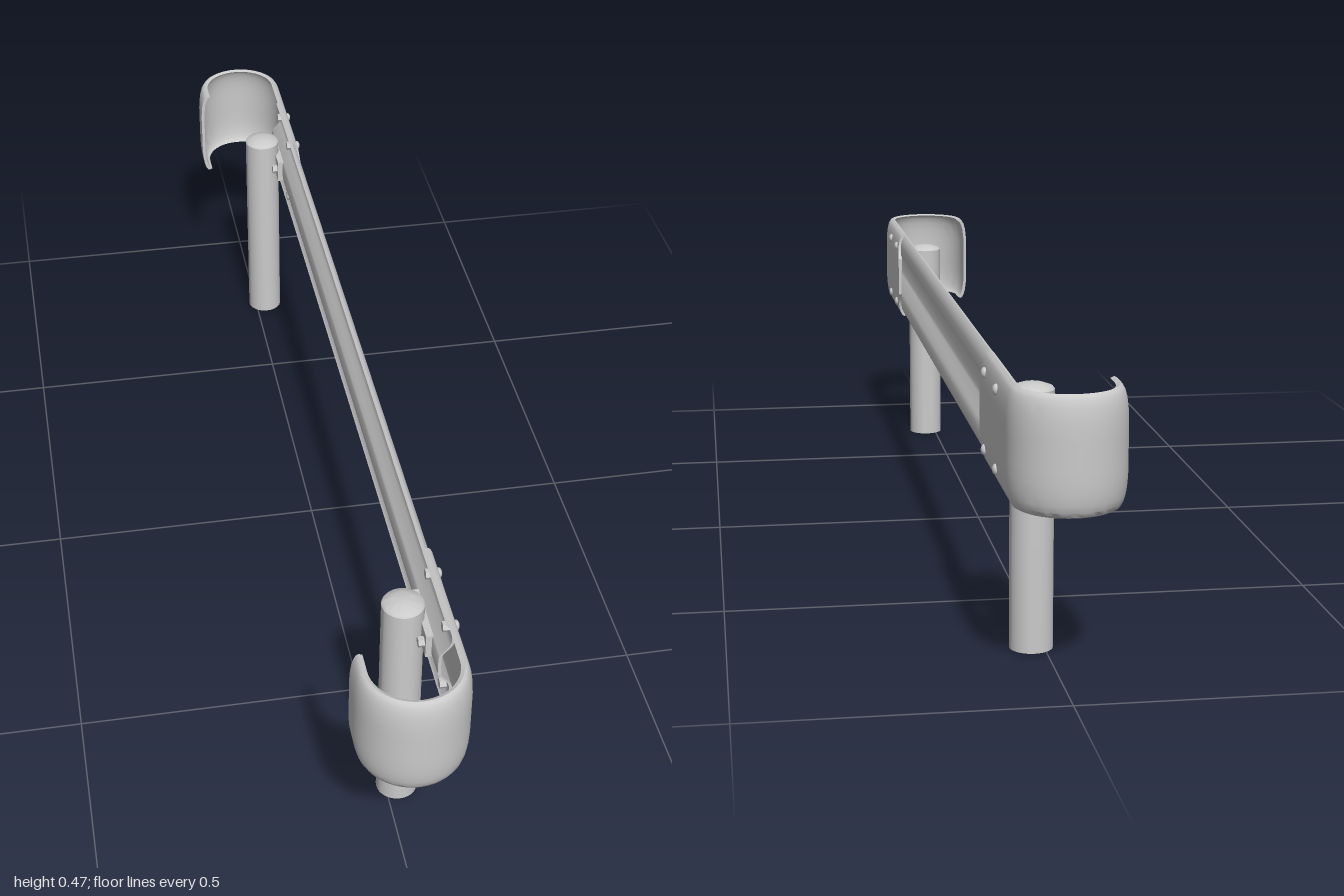
import * as THREE from 'three';
import { toCreasedNormals } from 'three/addons/utils/BufferGeometryUtils.js';

const MID_Y = 0.373;

// Sweeps a thin sheet section along frames { x, z, nx, nz, shift(y) }.
// The outer profile lists [offset along the normal, height] from bottom to top.
function sweepSheet(outer, thickness, frames) {
  const inner = outer.map(([o, y]) => [o - thickness, MID_Y + (y - MID_Y) * 0.97]).reverse();
  const loop = [...outer, ...inner];
  const n = loop.length;
  const pos = [];
  const idx = [];
  for (const f of frames) {
    for (const [o, y] of loop) pos.push(f.x + f.nx * o, y, f.z + f.nz * o + (f.shift ? f.shift(y) : 0));
  }
  const quad = (a, b, c, d) => idx.push(a, b, c, a, c, d);
  for (let i = 0; i < frames.length - 1; i++) {
    for (let j = 0; j < n; j++) {
      const k = (j + 1) % n;
      quad(i * n + j, i * n + k, (i + 1) * n + k, (i + 1) * n + j);
    }
  }
  // end faces
  const e = (frames.length - 1) * n;
  for (let j = 0; j < outer.length - 1; j++) {
    quad(n - 1 - j, n - 2 - j, j + 1, j);
    quad(e + j, e + j + 1, e + n - 2 - j, e + n - 1 - j);
  }
  const geo = new THREE.BufferGeometry();
  geo.setAttribute('position', new THREE.Float32BufferAttribute(pos, 3));
  geo.setIndex(idx);
  return toCreasedNormals(geo, 0.6);
}

// J-shaped path of an end cap; side is +1 for the front end and -1 for the back
function capFrames(side) {
  const r = 0.091, cx = -0.003, cz = 0.909;
  const tongue = (y) => -side * 0.02 * THREE.MathUtils.clamp((0.06 - Math.abs(y - MID_Y)) / 0.02, 0, 1);
  const frames = [
    { x: cx + r, z: 0.656, nx: 1, nz: 0, shift: tongue },
    { x: cx + r, z: 0.70, nx: 1, nz: 0 },
  ];
  const steps = 24;
  for (let i = 0; i <= steps; i++) {
    const a = (Math.PI * i) / steps;
    const nx = Math.cos(a), nz = Math.sin(a);
    frames.push({ x: cx + r * nx, z: cz + r * nz, nx, nz });
  }
  frames.push({ x: cx - r, z: 0.873, nx: -1, nz: 0 });
  if (side > 0) return frames;
  return frames.map((f) => ({ ...f, z: -f.z, nz: -f.nz })).reverse();
}

export function createModel() {
  const model = new THREE.Group();
  const steel = new THREE.MeshStandardMaterial({ color: 0xcacaca });
  steel.name = 'galvanised steel';

  const add = (name, geo, x = 0, y = 0, z = 0) => {
    const mesh = new THREE.Mesh(geo, steel);
    mesh.name = name;
    mesh.position.set(x, y, z);
    model.add(mesh);
  };

  // corrugated rail with a valley along the middle
  const railProfile = [
    [0.071, 0.285], [0.075, 0.289], [0.079, 0.297], [0.081, 0.307], [0.081, 0.322], [0.078, 0.332],
    [0.063, 0.350], [0.061, 0.356], [0.061, 0.390], [0.063, 0.396],
    [0.078, 0.414], [0.081, 0.424], [0.081, 0.440], [0.079, 0.449], [0.075, 0.457], [0.071, 0.461],
  ];
  add('rail', sweepSheet(railProfile, 0.005, [-0.83, 0.83].map((z) => ({ x: 0, z, nx: 1, nz: 0 }))));

  // curled end caps with softly rolled upper and lower edges
  const capProfile = [
    [-0.014, 0.281], [-0.010, 0.283], [-0.006, 0.290], [-0.003, 0.301], [-0.001, 0.316], [0, 0.333],
    [0, 0.353], [0, 0.393], [0, 0.413], [-0.001, 0.430], [-0.003, 0.445], [-0.006, 0.456],
    [-0.010, 0.463], [-0.014, 0.465],
  ];

  // post with a softly domed top
  const postGeo = toCreasedNormals(new THREE.LatheGeometry([
    [0, 0], [0.035, 0], [0.035, 0.42], [0.032, 0.424], [0.018, 0.429], [0, 0.431],
  ].map(([x, y]) => new THREE.Vector2(x, y)), 32), 0.6);

  const boltGeo = new THREE.SphereGeometry(0.009, 14, 8);
  boltGeo.scale(0.65, 1, 1);
  const nutGeo = new THREE.CylinderGeometry(0.009, 0.009, 0.012, 6).toNonIndexed();
  nutGeo.rotateZ(Math.PI / 2);
  nutGeo.computeVertexNormals();

  for (const side of [1, -1]) {
    const end = side > 0 ? 'front' : 'back';
    add(end + 'EndCap', sweepSheet(capProfile, 0.006, capFrames(side)));

    const postZ = side > 0 ? 0.73 : -0.74;
    add(end + 'Post', postGeo, 0.02, 0, postZ);

    // bracket between the post and the rail valley
    add(end + 'Bracket', new THREE.BoxGeometry(0.012, 0.045, 0.11), 0.052, MID_Y, postZ);
    for (const dz of [-0.042, 0.042]) add(end + 'BracketNut', nutGeo, 0.042, MID_Y, postZ + dz);

    // bolts through cap and rail
    for (const z of [0.685, 0.807]) {
      for (const y of [0.311, 0.435]) {
        add(end + 'Bolt', boltGeo, 0.087, y, side * z);
        add(end + 'Nut', nutGeo, 0.071, y, side * z);
      }
    }
  }
  return model;
}
